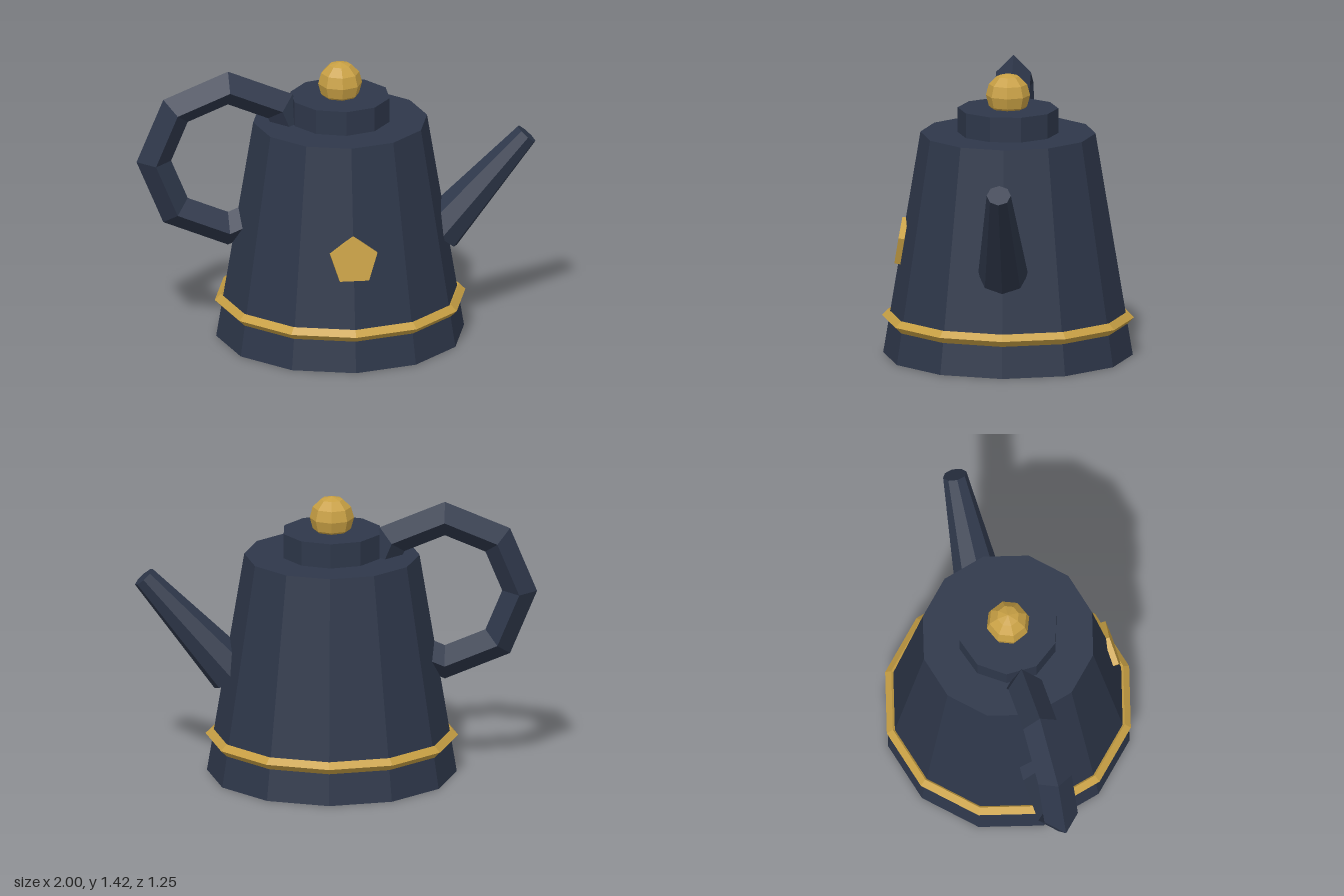
import * as THREE from 'three';

export function createModel() {
  const model = new THREE.Group();
  model.name = 'coffeePot';

  const navy = new THREE.MeshStandardMaterial({ color: 0x2e374a, flatShading: true });
  navy.name = 'navy enamel';
  const gold = new THREE.MeshStandardMaterial({ color: 0xc8a044, flatShading: true });
  gold.name = 'gold trim';

  const CX = 0.018; // axis of the pot

  function add(name, geometry, material, x, y, z = 0) {
    const mesh = new THREE.Mesh(geometry, material);
    mesh.name = name;
    mesh.position.set(x, y, z);
    model.add(mesh);
    return mesh;
  }

  // Tapered twelve-sided body and ten-sided lid
  add('body', new THREE.CylinderGeometry(0.435, 0.62, 1.12, 12), navy, CX, 0.56);
  add('lid', new THREE.CylinderGeometry(0.25, 0.25, 0.125, 10), navy, CX, 1.1825);
  add('lidKnob', new THREE.SphereGeometry(0.11, 8, 6), gold, CX, 1.31);

  // Trim ring with a diamond section
  add('trimRing', new THREE.TorusGeometry(0.596, 0.031, 4, 12), gold, CX, 0.189)
    .rotation.x = Math.PI / 2;

  // Handle: diamond-section loop that runs into the body and lid
  add('handle', new THREE.TorusGeometry(0.371, 0.0865, 4, 8), navy, -0.543, 0.937);

  // Spout: tapered tube between its base and tip
  const base = new THREE.Vector2(0.509, 0.506);
  const tip = new THREE.Vector2(0.951, 0.996);
  const mid = base.clone().add(tip).multiplyScalar(0.5);
  const run = tip.clone().sub(base);
  add('spout', new THREE.CylinderGeometry(0.06, 0.124, run.length(), 8), navy, mid.x, mid.y)
    .rotation.z = -Math.atan2(run.x, run.y);

  // Pentagon badge, point up, leaning back with the wall
  const badge = new THREE.CylinderGeometry(0.124, 0.124, 0.03, 5);
  badge.rotateY(Math.PI).rotateX(Math.PI / 2);
  add('badge', badge, gold, CX, 0.562, 0.53).rotation.x = -Math.atan2(0.185, 1.12);

  return model;
}
